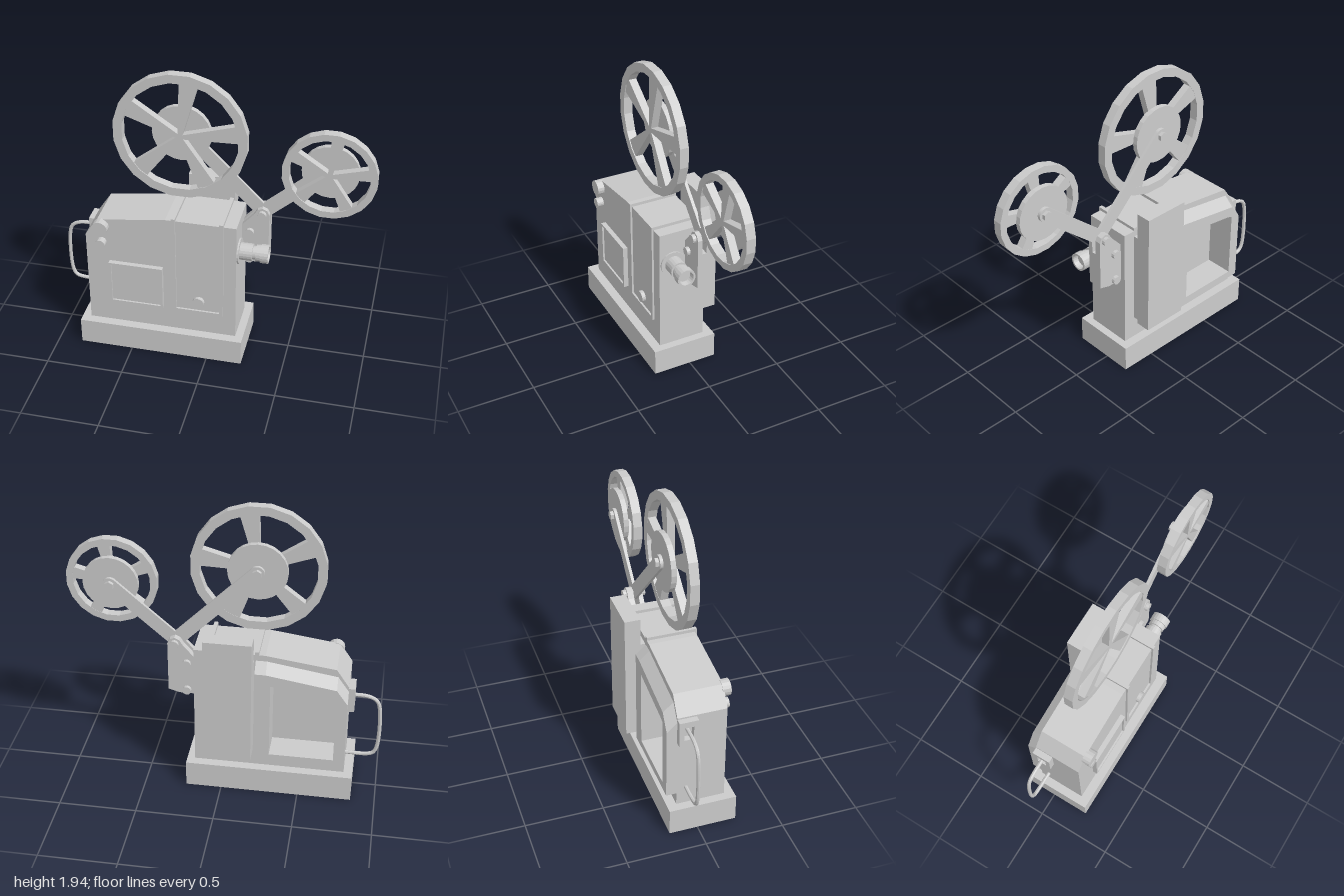
import * as THREE from 'three';

const material = new THREE.MeshStandardMaterial({ color: 0xcccccc, flatShading: true });
const thin = new THREE.MeshStandardMaterial({ color: 0xcccccc, flatShading: true, side: THREE.DoubleSide });

export function createModel() {
  const model = new THREE.Group();

  function add(name, geometry, mat = material, parent = model) {
    const mesh = new THREE.Mesh(geometry, mat);
    mesh.name = name;
    parent.add(mesh);
    return mesh;
  }
  // Box given by its extents on each axis
  function box(name, x0, x1, y0, y1, z0, z1) {
    const g = new THREE.BoxGeometry(x1 - x0, y1 - y0, z1 - z0);
    g.translate((x0 + x1) / 2, (y0 + y1) / 2, (z0 + z1) / 2);
    return add(name, g);
  }
  const toPoints = (list) => list.map(([x, y]) => new THREE.Vector2(x, y));
  const rect = (x0, x1, y0, y1) => [[x0, y0], [x1, y0], [x1, y1], [x0, y1]];
  const ring = (r, n) => Array.from({ length: n }, (_, i) => {
    const a = ((i + 0.5) / n) * Math.PI * 2;
    return [r * Math.cos(a), r * Math.sin(a)];
  });
  // Flat outline, optionally with a hole, extruded from z0 to z1
  function plate(outline, z0, z1, hole) {
    const shape = new THREE.Shape(toPoints(outline));
    if (hole) shape.holes.push(new THREE.Path(toPoints(hole)));
    const g = new THREE.ExtrudeGeometry(shape, { depth: z1 - z0, bevelEnabled: false });
    return g.translate(0, 0, z0);
  }
  // Round part whose axis runs along z
  function disc(name, x, y, r, z0, z1, sides = 16, parent = model) {
    const g = new THREE.CylinderGeometry(r, r, z1 - z0, sides);
    g.rotateX(Math.PI / 2).translate(x, y, (z0 + z1) / 2);
    return add(name, g, material, parent);
  }

  // Base and main body, the rear half hollowed by a recess
  box('base', -0.845, 0.23, 0, 0.175, -0.18, 0.25);
  const profile = [[-0.79, 0.175], [0.18, 0.175], [0.18, 1.01], [-0.27, 1.01], [-0.71, 0.95], [-0.79, 0.83]];
  const recess = [[-0.72, 0.31], [-0.31, 0.31], [-0.31, 0.83], [-0.72, 0.77]];
  add('bodyFront', plate(profile, 0, 0.19));
  add('bodyRear', plate(profile, -0.12, 0, recess));

  // Rear frame around the recess, its top sloping down towards the back
  const frame = plate([[-0.79, 0.26], [-0.21, 0.26], [-0.21, 0.97], [-0.28, 0.97], [-0.72, 0.9], [-0.79, 0.8]],
    -0.185, -0.12, recess);
  const p = frame.attributes.position;
  for (let i = 0; i < p.count; i++) {
    const onRecess = recess.some(([x, y]) => Math.hypot(p.getX(i) - x, p.getY(i) - y) < 0.001);
    if (!onRecess && p.getZ(i) < -0.15 && p.getY(i) > 0.7) p.setY(i, p.getY(i) - 0.06);
  }
  frame.computeVertexNormals();
  add('rearFrame', frame);

  // Tall housing on the back
  box('rearHousing', -0.2, 0.1, 0.3, 1.15, -0.25, -0.15);
  box('rearHousingMount', -0.2, 0.1, 0.33, 0.97, -0.15, -0.12);

  // Raised rim around the film door
  box('doorRim', -0.23, -0.205, 0.33, 1.03, -0.12, 0.203);
  box('doorRim', 0.075, 0.1, 0.33, 1.03, -0.12, 0.203);
  box('doorRim', -0.205, 0.075, 0.33, 0.347, 0.18, 0.203);

  // Side window panel
  add('windowFrame', plate(rect(-0.64, -0.29, 0.345, 0.65), 0.19, 0.222, rect(-0.625, -0.305, 0.36, 0.635)));
  box('windowPanel', -0.625, -0.305, 0.36, 0.635, 0.18, 0.21);

  // Knobs on the front
  disc('largeKnob', -0.685, 0.905, 0.052, 0.18, 0.235);
  disc('smallKnob', -0.685, 0.79, 0.032, 0.18, 0.235);
  disc('doorKnob', -0.06, 0.415, 0.038, 0.18, 0.215);

  // Carrying handle and its socket
  const handlePath = new THREE.CatmullRomCurve3([
    [-0.77, 0.295], [-0.92, 0.295], [-0.965, 0.31], [-0.987, 0.36], [-0.987, 0.65],
    [-0.965, 0.71], [-0.91, 0.738], [-0.77, 0.742],
  ].map(([x, y]) => new THREE.Vector3(x, y, -0.06)), false, 'centripetal');
  add('handle', new THREE.TubeGeometry(handlePath, 40, 0.0125, 8, false), thin);
  const socket = plate(rect(-0.06, 0.06, 0.65, 0.82), 0, 0.04, rect(-0.03, 0.03, 0.69, 0.78));
  socket.rotateY(-Math.PI / 2).translate(-0.79, 0, -0.06);
  add('handleSocket', socket);

  // Lens barrel with an open tip, axis along x
  const lens = new THREE.LatheGeometry(toPoints([
    [0.083, 0], [0.083, 0.02], [0.055, 0.02], [0.055, 0.1], [0.043, 0.1], [0.043, 0.12], [0.053, 0.12],
    [0.053, 0.15], [0.06, 0.15], [0.06, 0.2], [0.047, 0.2], [0.042, 0.165], [0, 0.165],
  ]), 20);
  lens.rotateZ(-Math.PI / 2).translate(0.17, 0.79, 0.1);
  add('lens', lens, thin);

  // Arm bracket, solid below and forked at the top
  const bracketLow = [[0.17, 0.66], [0.28, 0.66], [0.35, 0.68], [0.35, 0.92], [0.17, 0.92]];
  const bracketTop = [[0.17, 0.92], [0.35, 0.92], [0.35, 1.02], [0.335, 1.05], [0.305, 1.063], [0.275, 1.05], [0.25, 1.01]];
  add('bracket', plate(bracketLow, -0.085, 0.015));
  add('bracketFork', plate(bracketTop, -0.015, 0.015));
  add('bracketFork', plate(bracketTop, -0.085, -0.045));
  for (const [x, y] of [[0.305, 1.02], [0.23, 0.885], [0.23, 0.69]]) disc('bracketBolt', x, y, 0.028, -0.108, 0.038, 12);

  // Flat arm with rounded ends from the pivot to a reel centre
  function arm(x, y) {
    const dx = x - 0.305, dy = y - 1.02, length = Math.hypot(dx, dy), w = 0.045;
    const shape = new THREE.Shape();
    shape.absarc(0, 0, w, Math.PI / 2, Math.PI * 1.5, false);
    shape.absarc(length, 0, w, -Math.PI / 2, Math.PI / 2, false);
    const g = new THREE.ExtrudeGeometry(shape, { depth: 0.02, bevelEnabled: false, curveSegments: 8 });
    g.rotateZ(Math.atan2(dy, dx)).translate(0.305, 1.02, -0.04);
    add('reelArm', g);
  }

  // Reel: rim, five widening spokes, hub disc and rear nut
  function reel(name, x, y, radius, inner, hub) {
    const group = new THREE.Group();
    group.name = name;
    group.position.set(x, y, 0);
    model.add(group);
    add('rim', plate(ring(radius, 20), 0.01, 0.068, ring(inner, 20)), material, group);
    const w = radius * 0.14, end = inner + 0.005;
    for (let i = 0; i < 5; i++) {
      const spoke = plate([[0, -0.012], [end, -w], [end, w], [0, 0.012]], 0.012, 0.062);
      spoke.rotateZ(((9 + 72 * i) * Math.PI) / 180);
      add('spoke', spoke, material, group);
    }
    disc('hub', 0, 0, hub, -0.02, 0.014, 24, group);
    disc('nut', 0, 0, 0.03, -0.062, -0.02, 6, group);
    arm(x, y);
  }
  reel('largeReel', -0.2, 1.53, 0.418, 0.362, 0.185);
  reel('smallReel', 0.71, 1.377, 0.288, 0.245, 0.175);

  return model;
}
